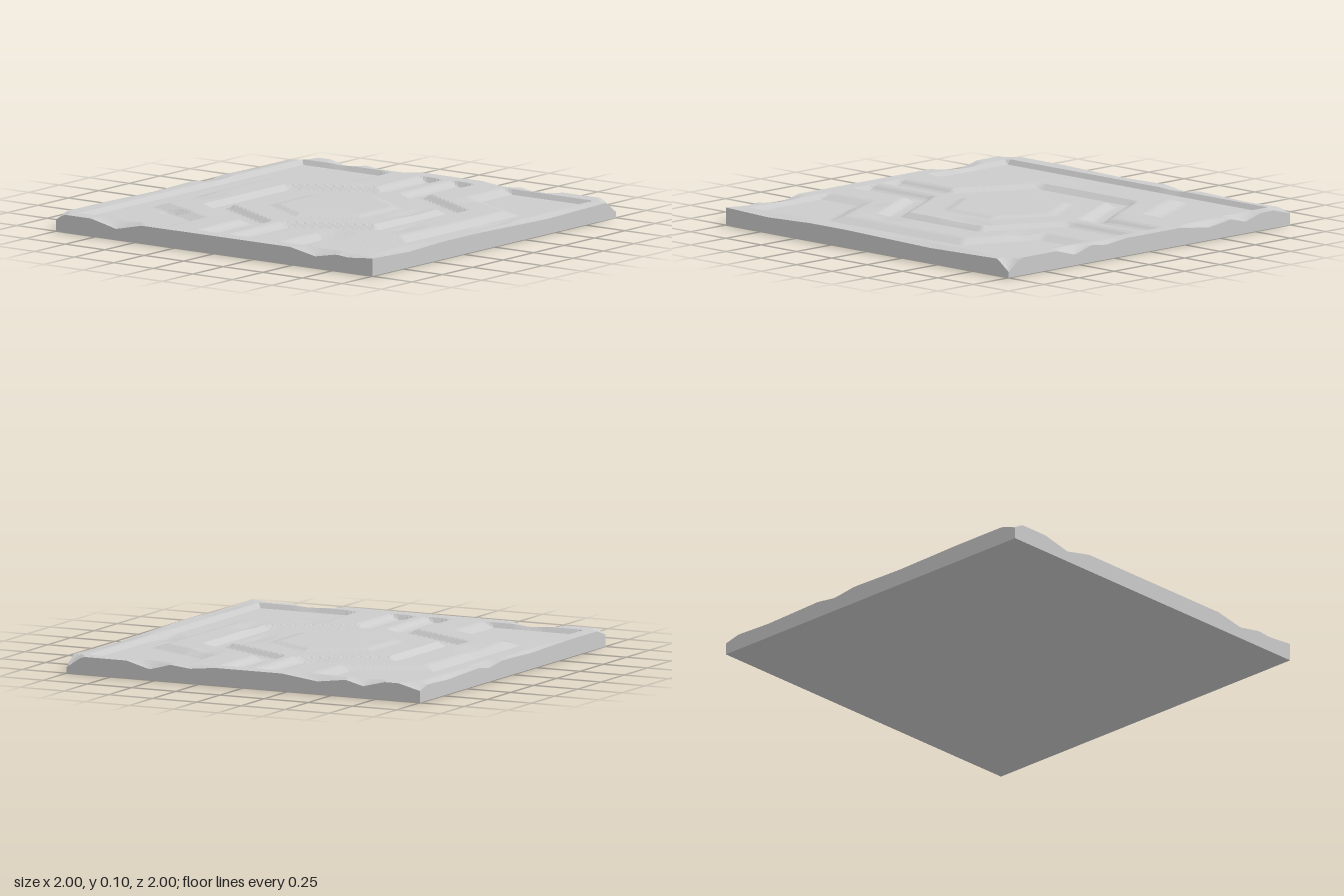
import * as THREE from 'three';

const H = 0.09;      // slab thickness
const DEPTH = 0.024; // depth of the carving
const clamp01 = (t) => Math.min(1, Math.max(0, t));

// Centre line of the carved channel, one quarter (mirrored in x and z)
const CHANNEL = [[0, 0.51], [0.3, 0.51], [0.52, 0.1], [0.95, 0.1]];

// Broken spots on the rim: x, z, half-length in x, half-length in z, drop
const CHIPS = [
  [1, 1, 0.08, 0.09, 0.06], [1, 0.53, 0.06, 0.13, 0.035], [1, 0.3, 0.05, 0.14, 0.015],
  [1, -0.42, 0.06, 0.2, 0.025], [1, -0.68, 0.09, 0.12, 0.03], [1, -1, 0.12, 0.12, 0.03],
  [-1, -0.62, 0.1, 0.16, 0.035], [-1, -1, 0.09, 0.05, 0.03], [-1, 0.64, 0.09, 0.16, 0.03],
  [-1, 0.85, 0.04, 0.14, 0.012], [0.45, 1, 0.6, 0.06, 0.012], [-0.7, 1, 0.3, 0.08, 0.01],
  [0.25, -1, 0.15, 0.1, 0.02], [0.7, -1, 0.5, 0.05, 0.015], [-0.2, -1, 0.4, 0.04, 0.008],
];

// Worn spots in the carving
const WEAR = [
  [-0.54, -0.6, 0.05, 0.1, 0.014], [-0.15, -0.72, 0.18, 0.1, 0.008],
  [0.5, -0.15, 0.12, 0.14, 0.008], [-0.25, 0.62, 0.15, 0.08, 0.009],
  [0.1, 0.4, 0.2, 0.07, 0.008], [0.15, 0.88, 0.14, 0.08, 0.01],
  [-0.55, 0.42, 0.1, 0.1, 0.008], [0.55, 0.45, 0.1, 0.1, 0.008],
];

function segmentDistance(x, z, [ax, az], [bx, bz]) {
  const dx = bx - ax, dz = bz - az;
  const t = clamp01(((x - ax) * dx + (z - az) * dz) / (dx * dx + dz * dz));
  return Math.hypot(x - ax - t * dx, z - az - t * dz);
}

const dent = (x, z, list) => list.reduce((deepest, [cx, cz, rx, rz, drop]) => Math.max(
  deepest, drop * clamp01(1 - Math.hypot((x - cx) / rx, (z - cz) / rz))), 0);

// Height of the carved top at a point
function topHeight(x, z) {
  const a = Math.abs(x), b = Math.abs(z);
  // channel running in from the sides and round the hexagon
  let d = Infinity;
  for (let i = 0; i < 3; i++) d = Math.min(d, segmentDistance(a, b, CHANNEL[i], CHANNEL[i + 1]));
  const channel = clamp01((0.07 - d) / 0.04);
  // sunken field between the hexagonal band and the rim
  const outsideBand = Math.max(b - 0.73, 0.894 * a + 0.447 * b - 0.702);
  const field = clamp01(Math.min(b - 0.35, outsideBand) / 0.07);
  // upright rim
  const inside = clamp01((0.92 - Math.max(a, b)) / 0.02);
  // raised central hexagon
  const boss = 0.01 * clamp01((0.29 - Math.max(b, 0.866 * a + 0.5 * b)) / 0.04);
  return H + boss - inside * DEPTH * Math.max(channel, field) - dent(x, z, CHIPS) - dent(x, z, WEAR);
}

export function createModel() {
  const group = new THREE.Group();
  group.name = 'carvedStoneTile';

  // Finely divided slab whose top is lowered and raised by the carving rule
  const geometry = new THREE.BoxGeometry(2, H, 2, 100, 1, 100);
  geometry.translate(0, H / 2, 0);
  const p = geometry.attributes.position;
  for (let i = 0; i < p.count; i++) {
    if (p.getY(i) > H / 2) p.setY(i, topHeight(p.getX(i), p.getZ(i)));
  }
  geometry.computeVertexNormals();

  const slab = new THREE.Mesh(geometry,
    new THREE.MeshStandardMaterial({ color: 0xcccccc, flatShading: true }));
  slab.name = 'carvedSlab';
  group.add(slab);
  return group;
}
